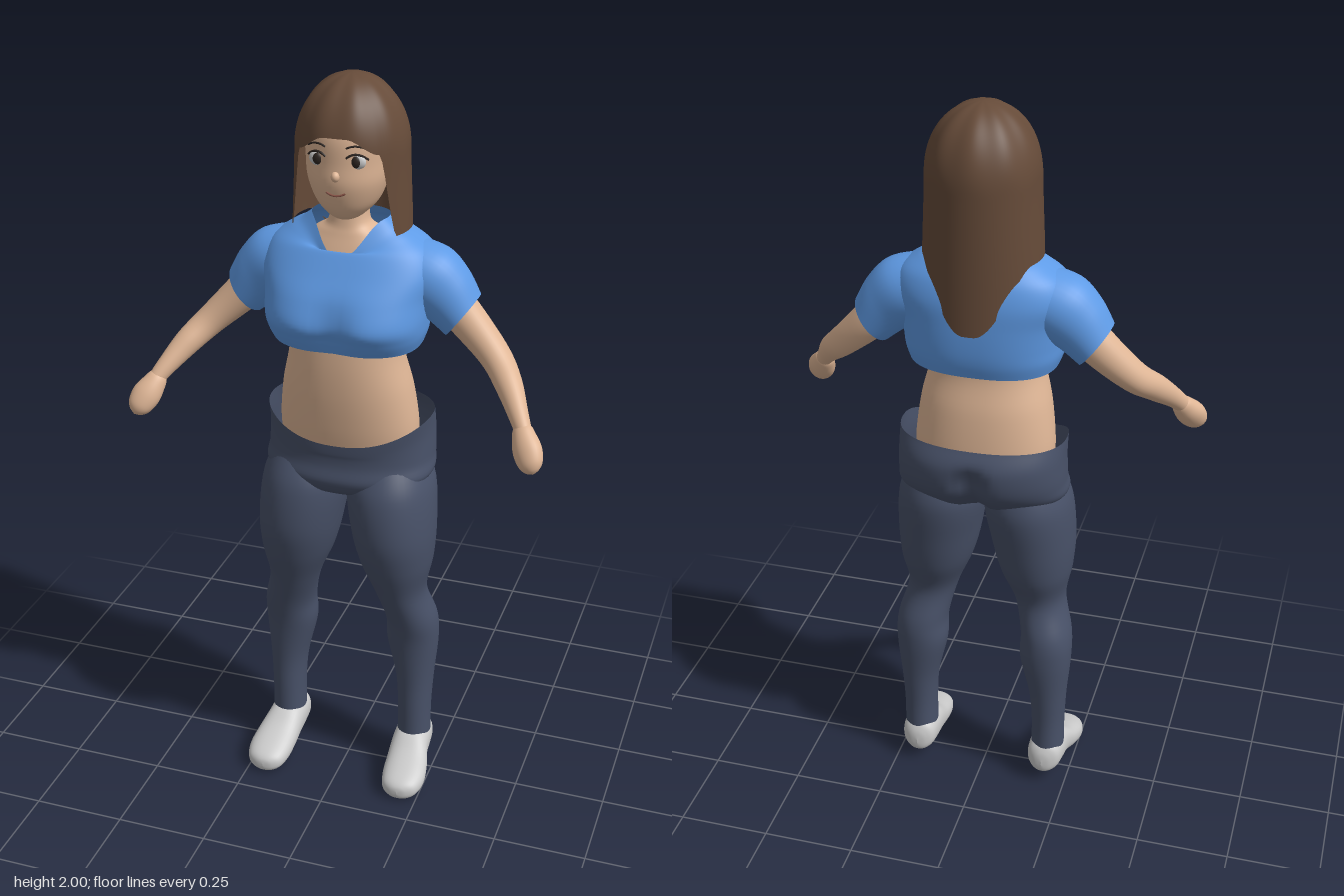
import * as THREE from 'three';

const mat = (color) => new THREE.MeshStandardMaterial({ color, roughness: 0.8, side: THREE.DoubleSide });
const { smoothstep, lerp } = THREE.MathUtils;

// Closed-around surface: f(angle, v) gives a point; angle 0 faces the front.
function surface(f, around, along) {
  const pos = [], idx = [];
  for (let i = 0; i <= along; i++)
    for (let j = 0; j < around; j++) pos.push(...f((j / around) * Math.PI * 2, i / along));
  for (let i = 0; i < along; i++)
    for (let j = 0; j < around; j++) {
      const k = (j + 1) % around, a = i * around, b = a + around;
      idx.push(a + j, a + k, b + k, a + j, b + k, b + j);
    }
  const g = new THREE.BufferGeometry();
  g.setAttribute('position', new THREE.Float32BufferAttribute(pos, 3));
  g.setIndex(idx);
  g.computeVertexNormals();
  return g;
}

// Smooth interpolation through rows of numbers.
function sample(rows, v) {
  const t = v * (rows.length - 1), i = Math.min(Math.floor(t), rows.length - 2), f = t - i;
  const at = (k) => rows[Math.max(0, Math.min(rows.length - 1, k))];
  return rows[0].map((_, c) => {
    const [a, b, d, e] = [at(i - 1)[c], at(i)[c], at(i + 1)[c], at(i + 2)[c]];
    return b + 0.5 * f * (d - a + f * (2 * a - 5 * b + 4 * d - e + f * (3 * (b - d) + e - a)));
  });
}

// Loft through rows [cx, cy, cz, halfWidth, halfDepth], running along t with v as the depth axis.
function loft(rows, { t = [0, 1, 0], v = [0, 0, 1], n = 2, around = 48, steps = 6, warp } = {}) {
  const T = new THREE.Vector3(...t).normalize();
  const V = new THREE.Vector3(...v).addScaledVector(T, -T.dot(new THREE.Vector3(...v))).normalize();
  const U = T.clone().cross(V);
  const pw = (x) => Math.sign(x) * Math.abs(x) ** (2 / n);
  return surface((a, s) => {
    const [x, y, z, ru, rv] = sample(rows, s);
    const p = new THREE.Vector3(x, y, z)
      .addScaledVector(U, Math.max(ru, 0) * pw(Math.sin(a)))
      .addScaledVector(V, Math.max(rv, 0) * pw(Math.cos(a)));
    if (warp) warp(p, a);
    return p.toArray();
  }, around, (rows.length - 1) * steps);
}

// Upright rows [y, halfWidth, zFront, zBack] to loft rows.
const upright = (rows) => rows.map(([y, rx, f, b]) => [0, y, (f + b) / 2, rx, (f - b) / 2]);

export function createModel() {
  const model = new THREE.Group();
  const skin = mat(0xdfb696), blue = mat(0x5f9be6), navy = mat(0x485168);
  const brown = mat(0x664b39), grey = mat(0xcccccc), dark = mat(0x2e2622), lip = mat(0x8a5548);
  const add = (name, geometry, material) => {
    const m = new THREE.Mesh(geometry, material);
    m.name = name;
    model.add(m);
    return m;
  };

  // Bare torso and neck
  add('torso', loft(upright([
    [1.03, 0.185, 0.1, -0.13], [1.1, 0.185, 0.113, -0.13], [1.2, 0.172, 0.125, -0.12],
    [1.3, 0.15, 0.128, -0.1], [1.4, 0.15, 0.12, -0.11], [1.5, 0.16, 0.09, -0.12],
    [1.57, 0.14, 0.065, -0.1], [1.61, 0.09, 0.05, -0.07], [1.64, 0.052, 0.042, -0.055],
    [1.71, 0.05, 0.035, -0.06]]), { n: 2.2 }), skin);

  // Head
  add('head', loft(upright([
    [1.648, 0, 0.03, 0.02], [1.653, 0.028, 0.052, -0.01], [1.67, 0.053, 0.073, -0.04],
    [1.7, 0.08, 0.091, -0.08], [1.75, 0.1, 0.105, -0.1], [1.8, 0.108, 0.104, -0.12],
    [1.87, 0.11, 0.1, -0.13], [1.93, 0.085, 0.07, -0.11], [1.96, 0.03, 0.0, -0.06]])), skin);
  const nose = add('nose', new THREE.SphereGeometry(1, 16, 12), skin);
  nose.scale.set(0.011, 0.013, 0.013);
  nose.position.set(0, 1.777, 0.104);
  add('mouth', new THREE.TubeGeometry(new THREE.QuadraticBezierCurve3(
    new THREE.Vector3(-0.024, 1.736, 0.101), new THREE.Vector3(0, 1.722, 0.107),
    new THREE.Vector3(0.024, 1.736, 0.101)), 12, 0.0025, 6), lip);

  // Hair: a dome that falls to a fringe, side locks and a long pointed back
  const hem = (a) => {
    const d = a > Math.PI ? Math.PI * 2 - a : a;
    const fringe = 1.872 - 0.04 * smoothstep(d, 0.2, 0.8);
    return lerp(lerp(fringe, 1.62, smoothstep(d, 0.78, 1.1)), 1.45, smoothstep(d, 2.0, 3.05));
  };
  add('hair', surface((a, v) => {
    const b = hem(a), y = b + (2 - b) * Math.sin(v * Math.PI / 2);
    const h = Math.min(1, (2 - y) / 0.18);
    const strands = 1 - 0.03 * (1 - h) * Math.cos(a * 9);
    const r = Math.sqrt(Math.max(0, 1 - (1 - h) ** 2)) * strands;
    const w = 0.143 + 0.01 * smoothstep(1.85 - y, 0, 0.3);
    return [w * r * Math.sin(a), y, -0.03 + 0.147 * r * Math.cos(a)];
  }, 120, 40), brown);

  // Cropped top with a V neck and a soft bust
  add('shirt', loft(upright([
    [1.325, 0.193, 0.14, -0.15], [1.36, 0.205, 0.162, -0.16], [1.4, 0.21, 0.177, -0.165],
    [1.46, 0.215, 0.153, -0.166], [1.52, 0.228, 0.115, -0.163], [1.57, 0.21, 0.085, -0.15],
    [1.605, 0.165, 0.062, -0.13], [1.625, 0.13, 0.052, -0.11], [1.65, 0.1, 0.045, -0.085]]), {
    n: 2.5, around: 72, warp: (p, a) => {
      const front = Math.max(0, Math.cos(a));
      p.z -= front * 0.024 * Math.exp(-((p.x / 0.055) ** 2) - ((p.y - 1.39) / 0.07) ** 2);
      const w = smoothstep(p.y, 1.57, 1.65) * front ** 5;
      p.y -= 0.085 * w;
      p.z += 0.038 * w;
    } }), blue);

  // Hips with an open waistband, lower at the front
  add('hips', loft(upright([
    [0.89, 0.03, 0.03, -0.03], [0.91, 0.14, 0.1, -0.1], [0.95, 0.222, 0.126, -0.15],
    [1.0, 0.225, 0.118, -0.185], [1.07, 0.222, 0.12, -0.192], [1.122, 0.222, 0.122, -0.168]]), {
    n: 2.3, around: 72, warp: (p, a) => {
      const c = Math.cos(a);
      if (c < 0) p.z += 0.035 * Math.exp(-((p.x / 0.035) ** 2)) * (1 - smoothstep(p.y, 1.02, 1.1));
      else p.y -= 0.062 * c * c * smoothstep(p.y, 1.0, 1.12);
    } }), navy);

  for (const s of [1, -1]) {
    const side = s > 0 ? 'left' : 'right';
    const flip = (rows) => rows.map(([x, ...rest]) => [s * x, ...rest]);

    // Leg rows: [y, inner x, outer x, zFront, zBack], ankle to hip
    const leg = [
      [0.11, 0.143, 0.235, 0.03, -0.082], [0.2, 0.143, 0.235, 0.03, -0.082],
      [0.3, 0.135, 0.24, 0.03, -0.09], [0.42, 0.108, 0.25, 0.04, -0.103],
      [0.5, 0.107, 0.247, 0.058, -0.1], [0.6, 0.083, 0.222, 0.09, -0.075],
      [0.7, 0.042, 0.238, 0.127, -0.11], [0.8, 0.018, 0.243, 0.147, -0.132],
      [0.92, 0.002, 0.233, 0.135, -0.15], [1.0, 0.03, 0.2, 0.09, -0.13]];
    add(side + 'Leg', loft(flip(leg.map(([y, i, o, f, b]) =>
      [(i + o) / 2, y, (f + b) / 2, (o - i) / 2, (f - b) / 2])), { n: 2.1 }), navy);

    // Shoe rows: [z, x, halfWidth, bottom, top], heel to toe
    const shoe = [
      [-0.094, 0.186, 0, 0.07, 0.08], [-0.088, 0.186, 0.025, 0.045, 0.11], [-0.07, 0.187, 0.045, 0.037, 0.135],
      [-0.03, 0.188, 0.051, 0.032, 0.14], [0.02, 0.19, 0.053, 0.025, 0.13], [0.07, 0.197, 0.059, 0.014, 0.1],
      [0.12, 0.201, 0.06, 0.005, 0.08], [0.16, 0.201, 0.049, 0.005, 0.064],
      [0.178, 0.2, 0.026, 0.012, 0.05], [0.183, 0.2, 0, 0.028, 0.034]];
    add(side + 'Shoe', loft(flip(shoe.map(([z, x, w, b, t]) =>
      [x, (b + t) / 2, z, w, (t - b) / 2])), { t: [0, 0, 1], v: [0, 1, 0], n: 2.3, around: 36 }), grey);

    // Sleeve, arm and mitten hand
    add(side + 'Sleeve', loft(flip([
      [0.1, 1.535, -0.035, 0.08, 0.08], [0.19, 1.5, -0.035, 0.088, 0.092],
      [0.25, 1.455, -0.035, 0.078, 0.082], [0.292, 1.405, -0.035, 0.07, 0.068]]),
    { t: [s * 0.8, -0.6, 0], v: [s * 0.6, 0.8, 0], around: 36 }), blue);
    add(side + 'Arm', loft(flip([
      [0.23, 1.47, -0.035, 0.055, 0.055], [0.3, 1.395, -0.035, 0.05, 0.05],
      [0.385, 1.313, -0.01, 0.042, 0.04], [0.435, 1.262, 0.04, 0.036, 0.035],
      [0.475, 1.21, 0.095, 0.026, 0.026], [0.495, 1.18, 0.122, 0.022, 0.022]]),
    { t: [s * 0.6, -0.65, 0.4], v: [s * 0.6, 0.8, 0], around: 32 }), skin);
    add(side + 'Hand', loft(flip([
      [0.484, 1.196, 0.108, 0, 0], [0.488, 1.189, 0.114, 0.022, 0.02], [0.499, 1.168, 0.13, 0.032, 0.028],
      [0.513, 1.143, 0.149, 0.038, 0.03], [0.526, 1.118, 0.167, 0.032, 0.025],
      [0.533, 1.104, 0.177, 0.018, 0.014], [0.536, 1.098, 0.181, 0, 0]]),
    { t: [s * 0.4, -0.75, 0.55], v: [-s * 0.3, 0.5, 0.8], around: 32 }), skin);

    // Eye: white, iris, and a curved brow
    const ball = (name, x, z, r, material) => {
      const m = add(name, new THREE.SphereGeometry(1, 20, 14), material);
      m.scale.set(...r);
      m.position.set(s * x, 1.815, z);
    };
    ball(side + 'Eye', 0.05, 0.087, [0.022, 0.019, 0.011], grey);
    ball(side + 'Iris', 0.049, 0.092, [0.013, 0.015, 0.0085], dark);
    const arc = (name, y, h, r) => add(name, new THREE.TubeGeometry(new THREE.QuadraticBezierCurve3(
      new THREE.Vector3(s * 0.026, y, 0.1), new THREE.Vector3(s * 0.05, y + h, 0.1),
      new THREE.Vector3(s * 0.076, y - 0.004, 0.08)), 12, r, 6), dark);
    arc(side + 'Lash', 1.824, 0.022, 0.003);
    arc(side + 'Brow', 1.848, 0.014, 0.0025);
  }
  return model;
}
